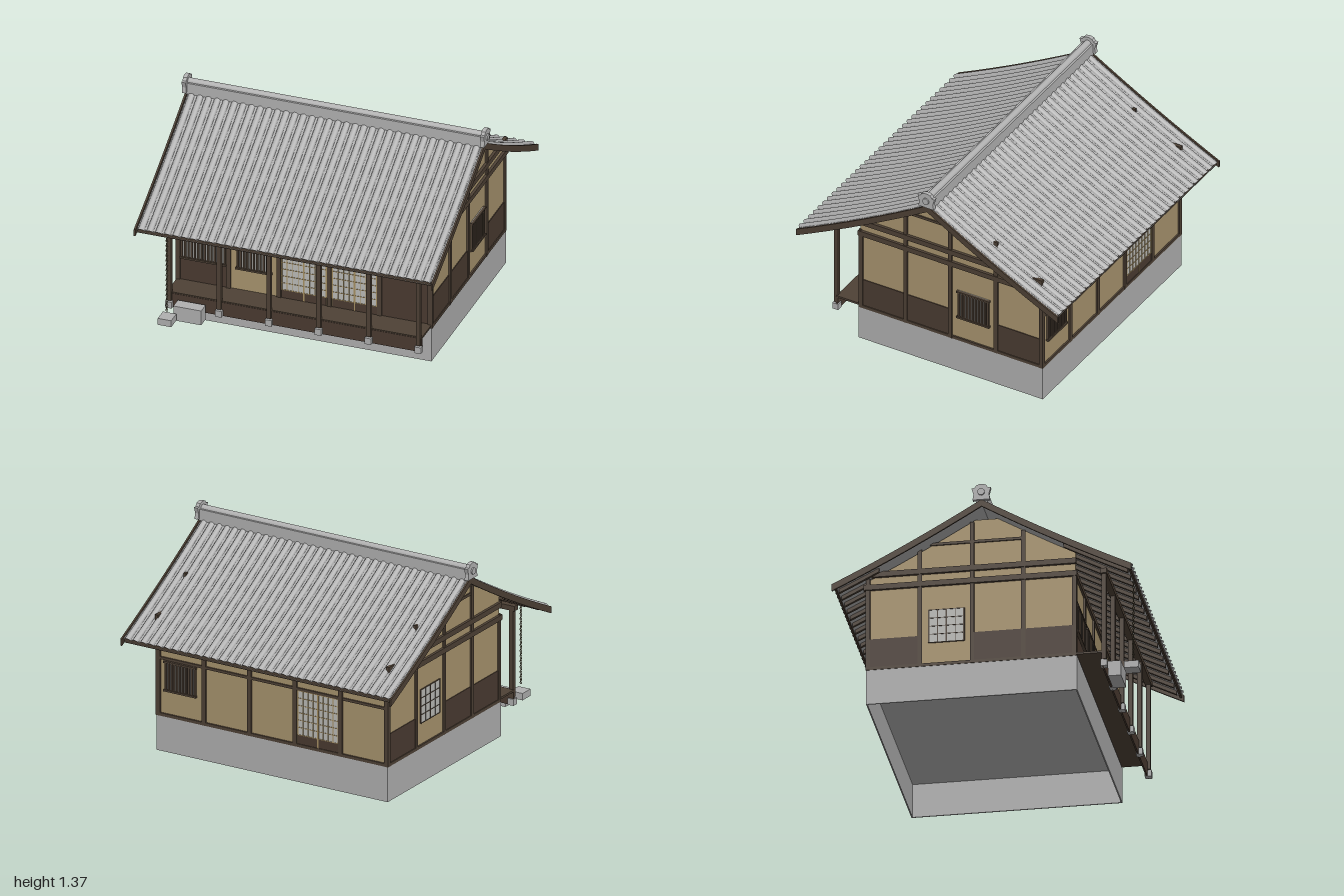
import * as THREE from 'three';
import { ParametricGeometry } from 'three/addons/geometries/ParametricGeometry.js';

const mat = (name, color, side = THREE.FrontSide) => {
  const m = new THREE.MeshStandardMaterial({ color, side });
  m.name = name;
  return m;
};
const M = {
  tile: mat('roof tile', 0xb2b2b2, THREE.DoubleSide),
  stone: mat('stone', 0xb0b0b0),
  plaster: mat('plaster', 0xa8946e),
  wood: mat('timber', 0x4e4135),
  board: mat('wall boards', 0x4a3b31),
  paper: mat('paper', 0xbcbcb8),
  muntin: mat('light wood', 0xa68f62),
  chain: mat('chain', 0x6a6248),
};

const ROOF_Z = -0.007;
// Height of the gently sagging roof at distance z from the ridge
const roofY = (z) => 1.268 - 0.6 * Math.abs(z) + 0.065 * z * z;

function add(parent, name, geometry, material) {
  const mesh = new THREE.Mesh(geometry, material);
  mesh.name = name;
  parent.add(mesh);
  return mesh;
}

// Box given by its limits
function box(parent, name, material, x0, x1, y0, y1, z0, z1) {
  const mesh = add(parent, name, new THREE.BoxGeometry(x1 - x0, y1 - y0, z1 - z0), material);
  mesh.position.set((x0 + x1) / 2, (y0 + y1) / 2, (z0 + z1) / 2);
  return mesh;
}

// Outline of [z, y] points, extruded along x about the given x
function slab(parent, name, material, points, x, thick) {
  const shape = new THREE.Shape(points.map(([z, y]) => new THREE.Vector2(z, y)));
  const geo = new THREE.ExtrudeGeometry(shape, { depth: thick, bevelEnabled: false });
  geo.translate(0, 0, -thick / 2).rotateY(-Math.PI / 2);
  const mesh = add(parent, name, geo, material);
  mesh.position.x = x;
  return mesh;
}

// Board following the roof slope between z0 and z1
function slopeBoard(parent, name, z0, z1, top, bottom, x, thick) {
  const upper = [], lower = [], n = 8;
  for (let i = 0; i <= n; i++) {
    const z = z0 + ((z1 - z0) * i) / n;
    upper.push([z, roofY(z) + top]);
    lower.unshift([z, roofY(z) + bottom]);
  }
  slab(parent, name, M.wood, [...upper, ...lower], x, thick).position.z = ROOF_Z;
}

// Wall detail in wall coordinates: u along the wall, y up, d outwards
const plate = (g, name, m, u0, u1, y0, y1, d) => box(g, name, m, u0, u1, y0, y1, -0.005, d);

function latticeWindow(g, u0, u1, y0, y1, bars) {
  plate(g, 'windowPaper', M.paper, u0, u1, y0, y1, 0.004);
  const step = (u1 - u0) / bars;
  for (let i = 0; i <= bars; i++)
    plate(g, 'windowBar', M.wood, u0 + i * step - 0.006, u0 + i * step + 0.006, y0, y1, 0.014);
  for (const y of [y0, y1 - 0.012])
    plate(g, 'windowRail', M.wood, u0 - 0.012, u1 + 0.012, y, y + 0.012, 0.02);
}

function paperScreen(g, u0, u1, y0, y1, cols, rows, m = M.muntin) {
  plate(g, 'screenPaper', M.paper, u0, u1, y0, y1, 0.005);
  for (let i = 0; i <= cols; i++) {
    const u = u0 + ((u1 - u0) * i) / cols, w = i % (cols / 2) ? 0.002 : 0.005;
    plate(g, 'screenUpright', m, u - w, u + w, y0, y1, 0.008);
  }
  for (let i = 0; i <= rows; i++) {
    const y = y0 + ((y1 - y0) * i) / rows;
    plate(g, 'screenRail', m, u0, u1, y - 0.002, y + 0.002, 0.008);
  }
}

function screenDoor(g, u0, u1) {
  plate(g, 'doorPanel', M.board, u0, u1, 0.25, 0.31, 0.006);
  plate(g, 'doorStile', M.muntin, (u0 + u1) / 2 - 0.004, (u0 + u1) / 2 + 0.004, 0.25, 0.31, 0.009);
  paperScreen(g, u0, u1, 0.31, 0.6, 8, 6);
}

function wallGroup(parent, name, x, z, angle) {
  const g = new THREE.Group();
  g.name = name;
  g.position.set(x, 0, z);
  g.rotation.y = angle;
  parent.add(g);
  return g;
}

const POSTS_X = [-0.825, -0.495, -0.165, 0.165, 0.495, 0.825];
const POSTS_Z = [0.548, 0.23, -0.09, -0.415, -0.738];

function buildLongWall(house, name, z, angle) {
  const g = wallGroup(house, name, 0, z, angle);
  for (const u of POSTS_X) plate(g, 'wallPost', M.wood, u - 0.014, u + 0.014, 0.23, 0.81, 0.012);
  plate(g, 'sill', M.wood, -0.84, 0.84, 0.23, 0.25, 0.011);
  plate(g, 'rail', M.wood, -0.83, 0.83, 0.603, 0.62, 0.01);
  plate(g, 'topBeam', M.wood, -0.84, 0.84, 0.77, 0.805, 0.014);
  return g;
}

function buildGable(house, name, side) {
  const g = wallGroup(house, name, side * 0.83, 0, (side * Math.PI) / 2);
  const bar = (n, m, z0, z1, y0, y1, d) =>
    side > 0 ? plate(g, n, m, -z1, -z0, y0, y1, d) : plate(g, n, m, z0, z1, y0, y1, d);
  // Boarded lower bays, one bay plastered to the ground
  for (const i of [0, 1, 3]) bar('wainscot', M.board, POSTS_Z[i + 1], POSTS_Z[i], 0.25, 0.44, 0.005);
  const tops = [0.8, 1.105, 1.185, 1.058, 0.885];
  POSTS_Z.forEach((z, i) => bar('gablePost', M.wood, z - 0.013, z + 0.013, 0.23, tops[i], 0.012));
  bar('sill', M.wood, -0.75, 0.56, 0.23, 0.25, 0.011);
  bar('lowerBeam', M.wood, -0.765, 0.565, 0.77, 0.805, 0.018);
  bar('upperBeam', M.wood, -0.75, 0.56, 0.855, 0.89, 0.018);
  bar('gableRail', M.wood, -0.35, 0.23, 1.045, 1.062, 0.009);
  // Plaster filling up to the roof
  const outline = [[-0.74, 0.8], [0.555, 0.8]];
  for (const z of [0.555, 0.4, 0.25, 0.07, -0.07, -0.25, -0.4, -0.56, -0.74])
    outline.push([z, Math.min(1.2, roofY(z) - 0.025)]);
  slab(house, name + 'Plaster', M.plaster, outline, side * 0.825, 0.01);
  return g;
}

function buildRoof(house) {
  const roof = new THREE.Group();
  roof.name = 'roof';
  house.add(roof);
  const rolls = 34, half = 0.963;
  for (const s of [1, -1]) {
    // Round tile rolls with flat pans between them
    const tiles = (u, v, p) => {
      const f = (u * rolls) % 1, c = (f - 0.5) / 0.34;
      const bump = Math.abs(c) < 1 ? Math.sqrt(1 - c * c) : 0;
      const z = v * (0.925 + 0.012 * bump);
      p.set(-s * (u * 2 - 1) * half, roofY(z) - 0.004 + 0.017 * bump, s * z + ROOF_Z);
    };
    add(roof, 'roofTiles', new ParametricGeometry(tiles, rolls * 12, 8), M.tile);
    const lining = (u, v, p) =>
      p.set(s * (u * 2 - 1) * half, roofY(v * 0.922) - 0.02, s * v * 0.922 + ROOF_Z);
    add(roof, 'roofLining', new ParametricGeometry(lining, 1, 8), M.tile);
    // Rafters and the board along the eave
    for (let i = 0; i <= 18; i++)
      slopeBoard(roof, 'rafter', s > 0 ? 0.5 : -0.9, s > 0 ? 0.9 : -0.65, -0.02, -0.045, -0.9 + i * 0.1, 0.02);
    const ez = s * 0.915 + ROOF_Z;
    box(roof, 'eaveBoard', M.wood, -0.962, 0.962, 0.742, 0.768, ez - 0.006, ez + 0.006);
    // Bargeboards at the gable ends
    for (const x of [-0.974, 0.974])
      slopeBoard(roof, 'bargeboard', s > 0 ? 0 : -0.933, s > 0 ? 0.933 : 0, 0, -0.045, x, 0.012);
  }
  // Ridge and its end ornaments
  box(roof, 'ridge', M.tile, -0.97, 0.97, 1.25, 1.325, ROOF_Z - 0.036, ROOF_Z + 0.036);
  const cap = add(roof, 'ridgeCap', new THREE.CylinderGeometry(0.023, 0.023, 1.95, 16), M.tile);
  cap.rotation.z = Math.PI / 2;
  cap.position.set(0, 1.323, ROOF_Z);
  const right = [[0.054, 1.262], [0.048, 1.3], [0.06, 1.34], [0.042, 1.342], [0.03, 1.36], [0.012, 1.366]];
  const ornament = [...right, ...right.map(([z, y]) => [-z, y]).reverse()];
  for (const s of [-1, 1]) {
    slab(roof, 'ridgeOrnament', M.tile, ornament, s * 0.978, 0.026).position.z = ROOF_Z;
    const disc = add(roof, 'ornamentDisc', new THREE.CylinderGeometry(0.022, 0.022, 0.01, 16), M.tile);
    disc.rotation.z = Math.PI / 2;
    disc.position.set(s * 0.995, 1.312, ROOF_Z);
  }
}

function buildVeranda(house) {
  box(house, 'verandaDeck', M.wood, -0.835, 0.835, 0.24, 0.253, 0.55, 0.725);
  box(house, 'verandaFascia', M.board, -0.835, 0.835, 0.15, 0.245, 0.718, 0.728);
  for (const x of POSTS_X.map((p) => p * 0.99)) {
    box(house, 'verandaPost', M.wood, x - 0.014, x + 0.014, 0.2, 0.79, 0.717, 0.745);
    box(house, 'postStone', M.stone, x - 0.021, x + 0.021, 0.15, 0.193, 0.71, 0.752);
  }
  box(house, 'verandaBeam', M.wood, -0.845, 0.845, 0.775, 0.808, 0.71, 0.75);
}

export function createModel() {
  const house = new THREE.Group();
  house.name = 'farmhouse';

  // Hollow stone foundation under a closed floor
  for (const s of [-1, 1])
    box(house, 'foundationSide', M.stone, s * 0.834 - 0.004, s * 0.834 + 0.004, 0, 0.232, -0.75, 0.56);
  for (const z of [-0.746, 0.561]) box(house, 'foundationEnd', M.stone, -0.838, 0.838, 0, 0.232, z - 0.004, z + 0.004);
  box(house, 'floor', M.stone, -0.832, 0.832, 0.222, 0.232, -0.744, 0.558);
  box(house, 'wallCore', M.plaster, -0.83, 0.83, 0.232, 0.81, -0.74, 0.55);

  // Front: boarded bay, plaster bay, two screen bays, boarded bay
  const front = buildLongWall(house, 'frontWall', 0.55, 0);
  plate(front, 'frontBoards', M.board, -0.825, -0.495, 0.25, 0.605, 0.003);
  plate(front, 'frontBoards', M.board, 0.495, 0.825, 0.25, 0.605, 0.003);
  latticeWindow(front, -0.8, -0.52, 0.405, 0.59, 13);
  latticeWindow(front, -0.435, -0.22, 0.4, 0.6, 10);
  screenDoor(front, -0.148, 0.145);
  screenDoor(front, 0.185, 0.477);

  // Back: lattice window and one screen door
  const back = buildLongWall(house, 'backWall', -0.74, Math.PI);
  latticeWindow(back, -0.77, -0.56, 0.4, 0.6, 10);
  screenDoor(back, 0.185, 0.477);

  const rightGable = buildGable(house, 'rightGable', 1);
  latticeWindow(rightGable, 0.15, 0.36, 0.4, 0.6, 10);
  const leftGable = buildGable(house, 'leftGable', -1);
  paperScreen(leftGable, -0.36, -0.14, 0.39, 0.61, 4, 4, M.wood);

  buildVeranda(house);
  buildRoof(house);

  // Stepping stone, rain chain and its catch stone
  box(house, 'steppingStone', M.stone, -0.757, -0.575, 0.115, 0.215, 0.745, 0.825);
  box(house, 'catchStone', M.stone, -0.815, -0.727, 0.135, 0.18, 0.853, 0.945);
  const link = new THREE.TorusGeometry(0.007, 0.0025, 5, 10);
  for (let i = 0; i < 30; i++) {
    const mesh = add(house, 'chainLink', link, M.chain);
    mesh.position.set(-0.77, 0.225 + i * 0.0175, 0.905);
    mesh.rotation.y = (i % 2) * (Math.PI / 2);
  }
  return house;
}
